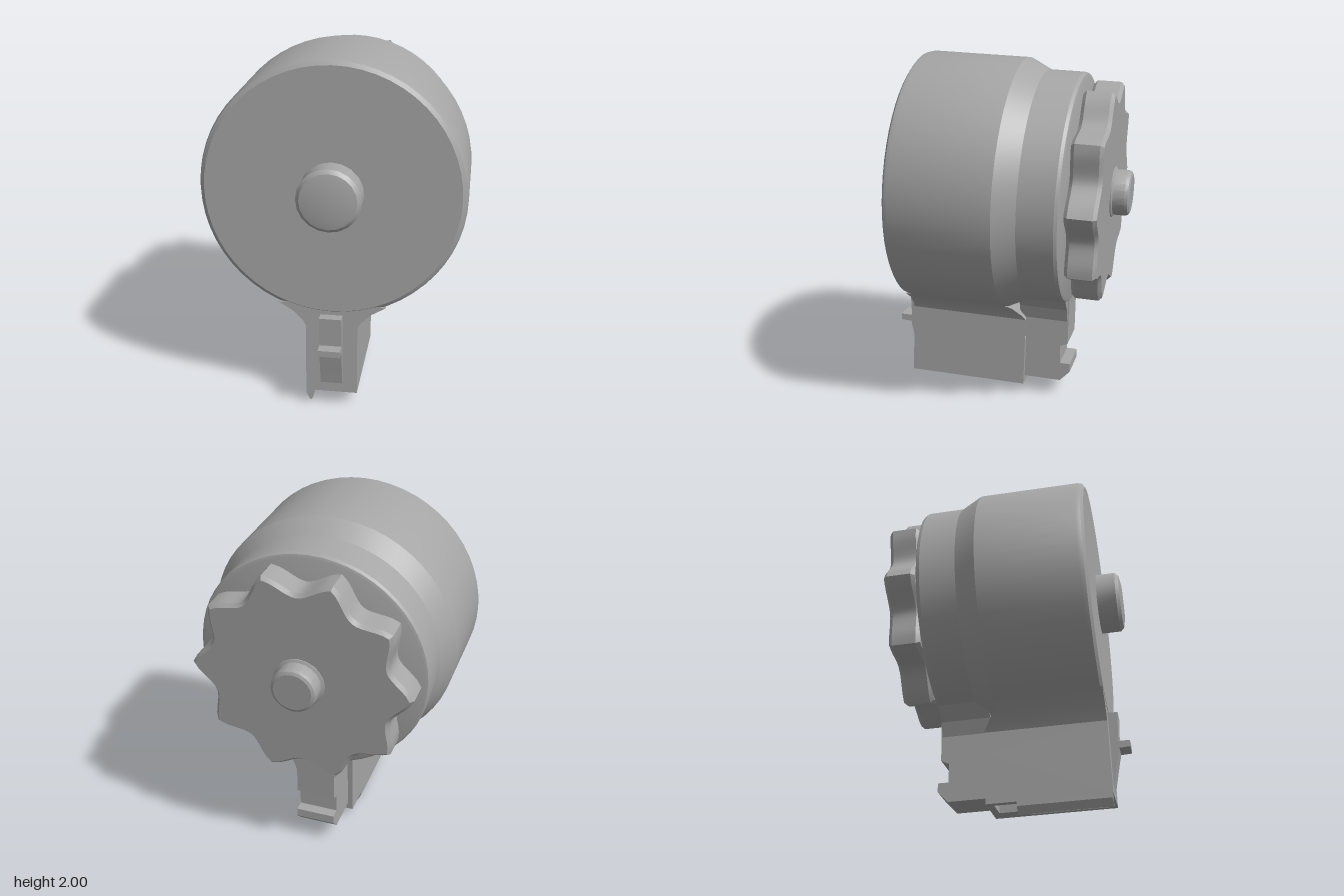
import * as THREE from 'three';
import { toCreasedNormals } from 'three/addons/utils/BufferGeometryUtils.js';

const metal = new THREE.MeshStandardMaterial({ color: 0xa6a6a6 });
metal.name = 'plain grey';

export function createModel() {
  const model = new THREE.Group();
  model.name = 'drumContainer';

  // everything sits in a slightly tilted frame centred on the drum axis
  const body = new THREE.Group();
  body.name = 'tiltedBody';
  body.position.y = 1.261;
  body.rotation.x = -0.038;
  model.add(body);

  function add(name, geometry, crease = 0.4) {
    const mesh = new THREE.Mesh(toCreasedNormals(geometry, crease), metal);
    mesh.name = name;
    body.add(mesh);
    return mesh;
  }
  const shapeOf = (pts) => new THREE.Shape(pts.map(([x, y]) => new THREE.Vector2(x, y)));

  // turned part about the z axis, profile given as [radius, z] from back to front
  function turned(name, profile, sides) {
    const g = new THREE.LatheGeometry(profile.map(([r, z]) => new THREE.Vector2(r, z)), sides);
    g.rotateX(Math.PI / 2);
    return add(name, g);
  }
  // outline in x,y pushed along z
  function alongZ(pts, z0, z1) {
    const g = new THREE.ExtrudeGeometry(shapeOf(pts), { depth: z1 - z0, bevelEnabled: false });
    return g.translate(0, 0, z0);
  }
  // side outline in z,y pushed along x
  function alongX(pts, x0, x1) {
    const g = new THREE.ExtrudeGeometry(shapeOf(pts.map(([z, y]) => [-z, y])), { depth: x1 - x0, bevelEnabled: false });
    return g.rotateY(Math.PI / 2).translate(x0, 0, 0);
  }

  // drum with stepped rear
  turned('drum', [
    [0, -0.395], [0.635, -0.395], [0.652, -0.388], [0.66, -0.37], [0.66, -0.17], [0.72, -0.05],
    [0.72, 0.51], [0.712, 0.535], [0.69, 0.55], [0, 0.55],
  ], 56);

  // round buttons and the axle behind the drum
  turned('frontButton', [[0, 0.54], [0.175, 0.54], [0.175, 0.66], [0.155, 0.68], [0.105, 0.69], [0, 0.69]], 20);
  turned('rearButton', [
    [0, -0.688], [0.108, -0.688], [0.124, -0.68], [0.13, -0.662], [0.13, -0.597],
    [0.145, -0.59], [0.145, -0.56], [0, -0.56],
  ], 20);
  turned('axle', [[0, -0.43], [0.13, -0.43], [0.13, -0.38], [0, -0.38]], 20);

  // scalloped winding wheel with ten grips
  const rim = [];
  for (let i = 0; i < 120; i++) {
    const a = (i / 120) * Math.PI * 2;
    const r = 0.605 - 0.1 * Math.pow(Math.abs(Math.sin(5 * a)), 1.3);
    rim.push([r * Math.cos(a), r * Math.sin(a)]);
  }
  const wheel = new THREE.ExtrudeGeometry(shapeOf(rim), {
    depth: 0.135, bevelThickness: 0.02, bevelSize: 0.018, bevelSegments: 1,
  });
  add('windingWheel', wheel.translate(0, 0, -0.565), 0.5);

  // flared shoulder where the drum meets the neck, with a sloping back edge
  const shoulder = alongZ([
    [-0.145, -0.92], [0.145, -0.92], [0.145, -0.79], [0.16, -0.76], [0.22, -0.7],
    [0.3, -0.652], [-0.3, -0.652], [-0.22, -0.7], [-0.16, -0.76], [-0.145, -0.79],
  ], -0.14, 0.548);
  const p = shoulder.attributes.position;
  for (let i = 0; i < p.count; i++) {
    if (p.getZ(i) < 0) p.setZ(i, Math.max(-0.14, -0.04 + (p.getY(i) + 0.66) * 0.77));
  }
  shoulder.computeVertexNormals();
  add('neckShoulder', shoulder);

  // hollow neck, open underneath
  const walls = shapeOf([[-0.145, -0.548], [0.145, -0.548], [0.145, 0.14], [-0.145, 0.14]]);
  walls.holes.push(new THREE.Path([
    [-0.105, -0.505], [-0.105, 0.1], [0.04, 0.1], [0.04, -0.02], [0.115, -0.06], [0.115, -0.505],
  ].map(([x, y]) => new THREE.Vector2(x, y))));
  const neck = new THREE.ExtrudeGeometry(walls, { depth: 0.29, bevelEnabled: false });
  add('neckWalls', neck.rotateX(-Math.PI / 2).translate(0, -1.2, 0));

  // narrower rear spine with its catch notch and flared top
  add('rearSpine', alongX([
    [-0.1, -0.6], [-0.385, -0.6], [-0.39, -0.918], [-0.346, -0.94], [-0.35, -1.047], [-0.41, -1.047],
    [-0.412, -1.097], [-0.355, -1.158], [-0.1, -1.158],
  ], -0.115, 0.115));
  add('rearShoulder', alongZ([
    [-0.115, -0.78], [0.115, -0.78], [0.14, -0.7], [0.21, -0.622], [-0.21, -0.622], [-0.14, -0.7],
  ], -0.38, -0.1));

  // guiding lip along the right lower edge
  add('lowerLip', alongZ([
    [-0.145, -1.19], [-0.145, -1.225], [-0.122, -1.268], [-0.108, -1.255], [-0.1, -1.19],
  ], 0.03, 0.545));

  // front latch strip with its thumb tab
  add('frontLatch', alongX([
    [0.53, -0.715], [0.603, -0.715], [0.592, -0.885], [0.657, -0.885], [0.656, -0.922],
    [0.596, -0.925], [0.584, -0.975], [0.548, -1.145], [0.53, -1.145],
  ], -0.062, 0.062));

  return model;
}
